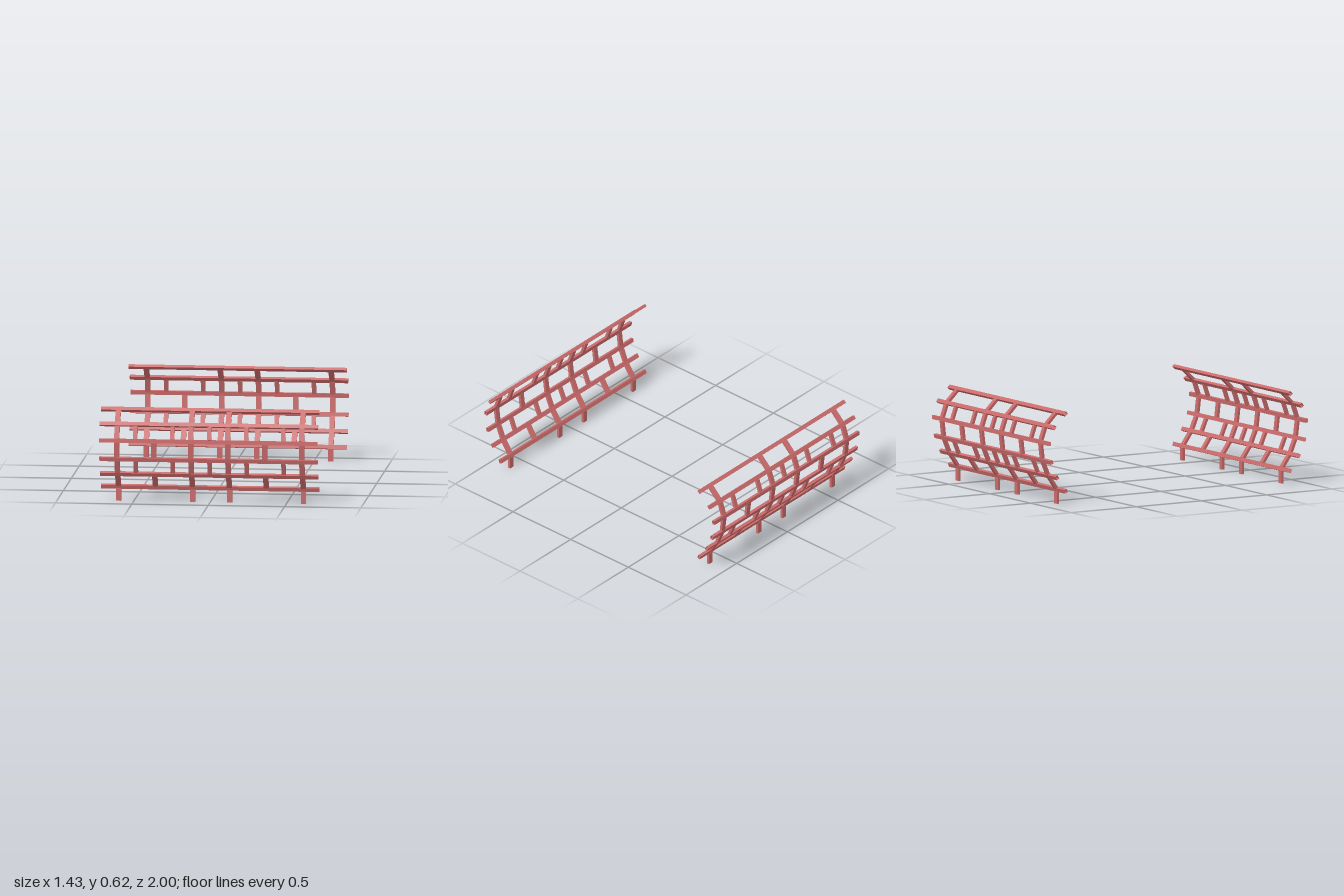
import * as THREE from 'three';

const RAIL_LENGTH = 1.43;
const RAIL_HEIGHT = 0.026;
const THICKNESS = 0.02;
const BAY = 0.242; // column spacing

// Bowed fence profile as [z, y], from the top rail down to the foot
const PROFILE = [
  [0.864, 0.603], [0.95, 0.519], [0.987, 0.415], [0.972, 0.292],
  [0.928, 0.188], [0.862, 0.094], [0.862, 0],
];
const column = (i) => -0.6 + i * BAY;
const POSTS = [0, 2, 3, 5].map(column);
const WIDE_STUBS = [1, 4].map(column);
const NARROW_STUBS = [0.5, 1.5, 2.5, 3.5, 4.5].map(column);

export function createModel() {
  const group = new THREE.Group();
  const material = new THREE.MeshStandardMaterial({
    color: 0xcc6b6b, flatShading: true, side: THREE.DoubleSide,
  });

  // Rails are hollow bars, open at both ends
  const railGeometry = new THREE.BoxGeometry(RAIL_LENGTH, RAIL_HEIGHT, THICKNESS);
  railGeometry.setIndex(Array.from(railGeometry.index.array).slice(12));

  const points = PROFILE.map(([z, y]) => new THREE.Vector3(0, y, z));

  // Upright bar between two profile points
  function bar(name, x, a, b, width) {
    const d = a.clone().sub(b);
    const mesh = new THREE.Mesh(
      new THREE.BoxGeometry(width, d.length(), THICKNESS * 0.9), material);
    mesh.name = name;
    mesh.position.copy(a).add(b).multiplyScalar(0.5).setX(x);
    mesh.rotation.x = Math.atan2(d.z, d.y);
    return mesh;
  }

  function fence(name, side) {
    const panel = new THREE.Group();
    panel.name = name;
    const p = points.map((v) => new THREE.Vector3(0, v.y, v.z * side));

    // Long rails, each tilted to the local slope of the profile
    for (let i = 0; i < 6; i++) {
      const slope = p[Math.max(i - 1, 0)].clone().sub(p[i + 1]);
      const rail = new THREE.Mesh(railGeometry, material);
      rail.name = 'rail' + (i + 1);
      rail.position.copy(p[i]);
      rail.rotation.x = Math.atan2(slope.z, slope.y);
      panel.add(rail);
    }

    // Posts in every row, short stubs staggered like brickwork
    for (let i = 0; i < 6; i++) {
      const dir = p[i + 1].clone().sub(p[i]).normalize();
      const trim = RAIL_HEIGHT / 2;
      const top = p[i].clone().addScaledVector(dir, i === 0 ? -trim * 0.9 : trim * 0.9);
      const end = p[i + 1].clone().addScaledVector(dir, i === 5 ? 0 : -trim * 0.9);
      for (const x of POSTS) panel.add(bar('post', x, top, end, 0.034));
      if (i === 1 || i === 3) {
        for (const x of NARROW_STUBS) panel.add(bar('narrowStub', x, top, end, 0.028));
      }
      if (i === 2 || i === 4) {
        for (const x of WIDE_STUBS) panel.add(bar('wideStub', x, top, end, 0.034));
      }
    }
    return panel;
  }

  group.add(fence('frontFence', 1), fence('backFence', -1));
  return group;
}
